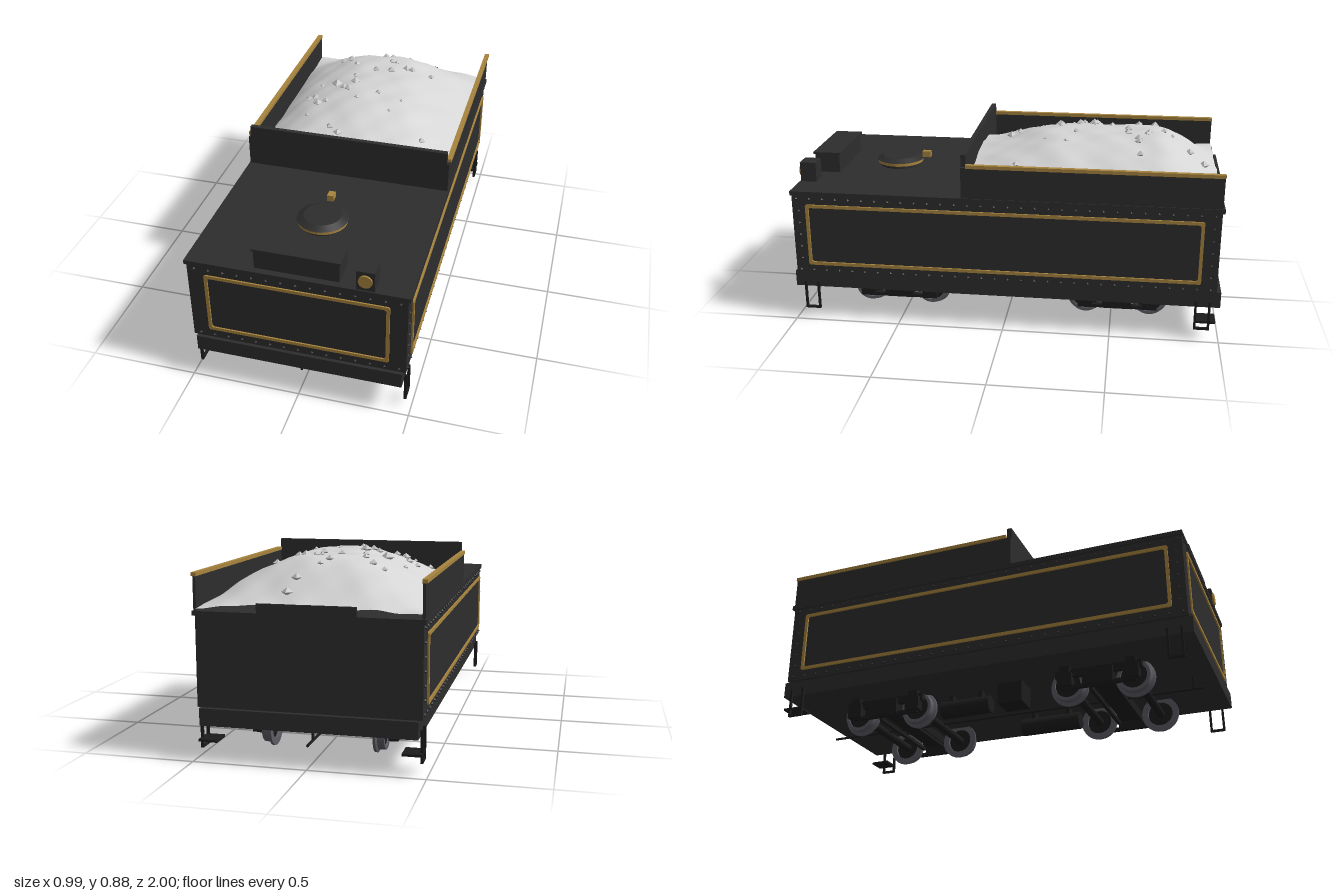
import * as THREE from 'three';
import { mergeGeometries } from 'three/addons/utils/BufferGeometryUtils.js';

const mat = (name, color) => {
  const m = new THREE.MeshStandardMaterial({ color });
  m.name = name;
  return m;
};

export function createModel() {
  const model = new THREE.Group();
  model.name = 'tender';
  const black = mat('body black', 0x2d2d2d);
  const under = mat('running gear black', 0x1c1c1c);
  const brass = mat('brass', 0xa8843e);
  const steel = mat('wheel steel', 0x5c5c64);
  const coalMat = mat('pale coal', 0xd4d4d4);
  coalMat.side = THREE.DoubleSide;
  const lumpMat = mat('coal lumps', 0xc4c4c4);
  lumpMat.flatShading = true;

  const add = (name, geo, material, parent = model) => {
    const mesh = new THREE.Mesh(geo, material);
    mesh.name = name;
    parent.add(mesh);
    return mesh;
  };
  // Box given by its limits on each axis
  const box = (x0, x1, y0, y1, z0, z1) =>
    new THREE.BoxGeometry(x1 - x0, y1 - y0, z1 - z0)
      .translate((x0 + x1) / 2, (y0 + y1) / 2, (z0 + z1) / 2);
  const cylX = (r, x0, x1, y, z, n = 20) =>
    new THREE.CylinderGeometry(r, r, x1 - x0, n).rotateZ(Math.PI / 2).translate((x0 + x1) / 2, y, z);
  const cylZ = (r, x, y, z0, z1, n = 20) =>
    new THREE.CylinderGeometry(r, r, z1 - z0, n).rotateX(Math.PI / 2).translate(x, y, (z0 + z1) / 2);

  // Tank, frame and deck
  add('underframe', box(-0.465, 0.465, 0.16, 0.235, -1, 1), black);
  add('tank', box(-0.48, 0.48, 0.235, 0.625, -0.978, 0.985), black);
  add('deck', box(-0.49, 0.49, 0.625, 0.645, -0.988, 0.99), black);

  // Coal bunker walls with brass caps
  add('bunkerFront', box(-0.475, 0.475, 0.645, 0.846, 0.165, 0.188), black);
  add('bunkerRearPlate', box(-0.21, 0.21, 0.645, 0.685, -0.988, -0.976), black);
  for (const s of [-1, 1]) {
    const side = s > 0 ? 'left' : 'right';
    add(side + 'BunkerWall', box(-0.006, 0.006, 0.645, 0.79, -0.978, 0.188).translate(s * 0.48, 0, 0), black);
    add(side + 'BunkerCap', box(-0.011, 0.011, 0.788, 0.804, -0.98, 0.165).translate(s * 0.482, 0, 0), brass);
  }

  // Mounded coal
  const ss = THREE.MathUtils.smoothstep;
  const coalHeight = (x, z) => {
    const across = 1 - Math.pow(Math.min(1, Math.abs(x) / 0.475), 2.2);
    const along = (0.5 + 0.5 * (1 - ss(z, -0.25, 0.2))) * ss(z, -1.05, -0.68);
    const bumps = 0.005 * Math.sin(x * 17 + z * 9) * Math.sin(z * 15 - x * 6) + 0.003 * Math.sin(x * 38) * Math.sin(z * 31);
    return 0.66 + 0.195 * across * along + bumps;
  };
  const coal = new THREE.PlaneGeometry(0.95, 1.145, 36, 44).rotateX(-Math.PI / 2).translate(0, 0, -0.4075);
  const cp = coal.attributes.position;
  for (let i = 0; i < cp.count; i++) cp.setY(i, coalHeight(cp.getX(i), cp.getZ(i)));
  coal.computeVertexNormals();
  add('coalPile', coal, coalMat);

  // Loose lumps: x, z, size
  const lumps = [
    [0.1, -0.91, 0.026], [0.08, -0.84, 0.024], [0, -0.76, 0.014], [-0.03, -0.72, 0.02], [-0.26, -0.69, 0.018],
    [-0.21, -0.68, 0.023], [0.02, -0.65, 0.016], [0.05, -0.64, 0.016], [-0.16, -0.6, 0.018], [0.11, -0.6, 0.022],
    [0.14, -0.6, 0.022], [0.24, -0.61, 0.02], [-0.04, -0.55, 0.022], [0.04, -0.55, 0.022], [-0.13, -0.47, 0.018],
    [-0.3, -0.42, 0.014], [-0.21, -0.39, 0.032], [-0.11, -0.38, 0.026], [-0.16, -0.33, 0.02], [-0.13, -0.31, 0.022],
    [0.03, -0.3, 0.016], [-0.33, -0.28, 0.018], [-0.29, -0.27, 0.022], [0.16, -0.26, 0.012], [-0.06, -0.22, 0.014],
    [-0.26, -0.2, 0.025], [-0.22, -0.21, 0.02], [0.12, -0.16, 0.012], [-0.29, -0.11, 0.014], [-0.14, -0.01, 0.02],
    [0.31, -0.04, 0.018], [-0.34, 0.03, 0.018], [-0.09, 0.03, 0.024], [0.31, 0.1, 0.012],
  ];
  add('coalLumps', mergeGeometries(lumps.map(([x, z, r], i) =>
    new THREE.OctahedronGeometry(r).scale(1, 0.8, 1).rotateY(i * 0.2)
      .translate(x, coalHeight(x, z) + r * 0.15, z))), lumpMat);

  // Brass panel outlines
  const panel = (w, h) => {
    const loop = (p, a, b, c) => {
      const pts = [[a - c, -b], [a, -b + c], [a, b - c], [a - c, b], [-a + c, b], [-a, b - c], [-a, -b + c], [-a + c, -b]];
      p.setFromPoints(pts.map(([x, y]) => new THREE.Vector2(x, y)));
      p.closePath();
      return p;
    };
    const shape = loop(new THREE.Shape(), w / 2, h / 2, 0.006);
    shape.holes.push(loop(new THREE.Path(), w / 2 - 0.015, h / 2 - 0.015, 0.008));
    return new THREE.ExtrudeGeometry(shape, { depth: 0.008, bevelEnabled: false });
  };
  add('frontPanelTrim', panel(0.81, 0.3).translate(0, 0.432, 0.984), brass);
  for (const s of [-1, 1])
    add(s > 0 ? 'leftPanelTrim' : 'rightPanelTrim',
      panel(1.825, 0.3).translate(0, 0, 0.483).rotateY(s * Math.PI / 2).translate(0, 0.432, 0.008), brass);

  // Rivets along the panel edges
  const rivets = [];
  const rivet = (x, y, z) => rivets.push(new THREE.OctahedronGeometry(0.008).translate(x, y, z));
  for (const y of [0.252, 0.607]) {
    for (let i = -7; i <= 7; i++) rivet(i * 0.064, y, 0.986);
    for (const s of [-1, 1]) for (let i = 0; i < 32; i++) rivet(s * 0.481, y, 0.965 - i * 0.0617);
  }
  for (const s of [-1, 1]) for (const z of [0.955, -0.945])
    for (let i = 1; i < 6; i++) rivet(s * 0.481, 0.252 + i * 0.059, z);
  add('rivets', mergeGeometries(rivets), black);

  // Water hatch
  const disc = (r, y0, y1) => new THREE.CylinderGeometry(r, r, y1 - y0, 32).translate(0, (y0 + y1) / 2, 0.58);
  add('hatchBase', disc(0.1, 0.645, 0.662), black);
  add('hatchRing', disc(0.112, 0.66, 0.676), brass);
  add('hatchLid', new THREE.CylinderGeometry(0.085, 0.116, 0.017, 32).translate(0, 0.684, 0.58), black);
  add('hatchLatch', box(-0.015, 0.015, 0.685, 0.714, 0.425, 0.465), brass);

  // Toolbox and lamp
  add('toolbox', box(-0.185, 0.185, 0.645, 0.735, 0.84, 0.96), black);
  add('toolboxLid', box(-0.192, 0.192, 0.735, 0.745, 0.832, 0.967), black);
  add('lampHousing', box(0.26, 0.34, 0.645, 0.738, 0.908, 0.984), black);
  add('lampLens', cylZ(0.03, 0.3, 0.693, 0.98, 0.992, 24), brass);

  // Bogies
  const tyreProfile = [[0.06, -0.025], [0.09, -0.025], [0.09, -0.014], [0.077, -0.008], [0.075, 0.022], [0.06, 0.022], [0.06, -0.025]]
    .map(([r, y]) => new THREE.Vector2(r, y));
  const tyre = mergeGeometries(tyreProfile.slice(1).map((p, i) => new THREE.LatheGeometry([tyreProfile[i], p], 32)));
  [0.535, -0.53].forEach((zc, b) => {
    const bogie = new THREE.Group();
    bogie.name = b ? 'rearBogie' : 'frontBogie';
    bogie.position.z = zc;
    model.add(bogie);
    add('bolster', box(-0.3, 0.3, 0.095, 0.135, -0.05, 0.05), under, bogie);
    add('pivot', cylX(0.04, -0.06, 0.06, 0.14, 0), under, bogie);
    for (const dz of [-0.153, 0.153]) {
      add('axle', cylX(0.02, -0.31, 0.31, 0.09, dz, 16), under, bogie);
      add('brakeBeam', box(-0.24, 0.24, 0.065, 0.08, dz * 0.36 - 0.008, dz * 0.36 + 0.008), under, bogie);
      for (const s of [-1, 1]) {
        add('tyre', tyre.clone().rotateZ(-s * Math.PI / 2).translate(s * 0.253, 0.09, dz), steel, bogie);
        add('wheelCentre', cylX(0.062, -0.012, 0.012, 0.09, dz, 32).translate(s * 0.253, 0, 0), under, bogie);
        add('journalBox', box(-0.022, 0.022, 0.062, 0.125, dz - 0.035, dz + 0.035).translate(s * 0.308, 0, 0), under, bogie);
        add('journalSpring', box(-0.015, 0.015, 0.12, 0.16, dz - 0.024, dz + 0.024).translate(s * 0.308, 0, 0), under, bogie);
      }
    }
    for (const s of [-1, 1]) {
      add('sideFrame', box(-0.012, 0.012, 0.11, 0.145, -0.2, 0.2).translate(s * 0.3, 0, 0), under, bogie);
      add('lowerFrame', box(-0.012, 0.012, 0.055, 0.07, -0.17, 0.17).translate(s * 0.3, 0, 0), under, bogie);
      add('springPack', box(-0.02, 0.02, 0.06, 0.135, -0.07, 0.07).translate(s * 0.305, 0, 0), under, bogie);
    }
  });

  // Underfloor equipment
  add('airReservoir', cylZ(0.042, 0.18, 0.092, 0, 0.3), under);
  add('brakeCylinder', cylZ(0.042, -0.18, 0.092, -0.28, -0.03), under);
  add('equipmentBox', box(-0.25, -0.13, 0.06, 0.16, 0.03, 0.15), under);
  for (const [x, z] of [[0.18, 0.06], [0.18, 0.24], [-0.18, -0.08], [-0.18, -0.23]])
    add('hanger', box(x - 0.02, x + 0.02, 0.12, 0.162, z - 0.01, z + 0.01), under);
  add('brakePipe', cylZ(0.006, 0, 0.098, -0.98, 0.945, 8), under);
  for (const z of [-0.9, 0.9]) add('pipeHanger', box(-0.005, 0.005, 0.095, 0.165, z - 0.005, z + 0.005), under);

  // Corner steps
  for (const s of [-1, 1]) for (const e of [-1, 1]) {
    const step = new THREE.Group();
    step.name = (e > 0 ? 'front' : 'rear') + (s > 0 ? 'Left' : 'Right') + 'Step';
    step.position.set(s * 0.473, 0, e * 0.92);
    model.add(step);
    for (const z of [-0.031, 0.031])
      add('stirrupLeg', box(-0.006, 0.006, 0.05, 0.19, z - 0.005, z + 0.005), under, step);
    add('stirrupFoot', box(-0.006, 0.006, 0.05, 0.06, -0.036, 0.036), under, step);
    if (e < 0) {
      add('footPlate', box(-0.042, 0.042, 0.084, 0.095, -0.062, 0.03).translate(-s * 0.036, 0, 0), under, step);
    }
  }
  return model;
}
